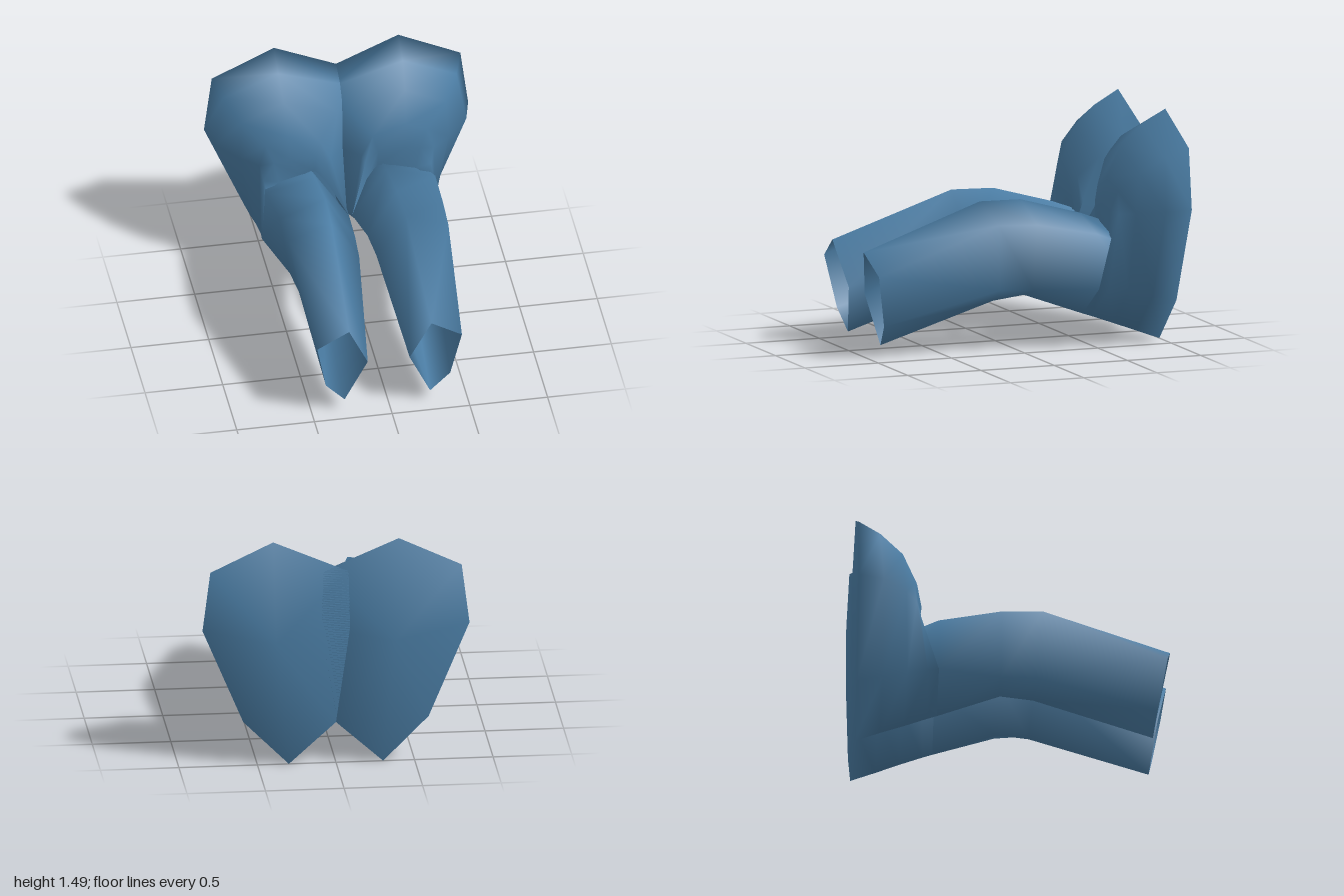
import * as THREE from 'three';

// Smooth skin through rings of equal length, listed from back to front;
// each ring runs top, outer side, bottom, inner side.
function loft(rings, side, capBack) {
  const n = rings[0].length, pos = [], idx = [];
  const tri = (a, b, c) => (side > 0 ? idx.push(a, b, c) : idx.push(a, c, b));
  for (const ring of rings) {
    for (const [x, y, z] of ring) {
      const lean = -0.012 * Math.max(0, z + 0.5) / 1.5; // legs drift slightly sideways
      pos.push(side * x + lean, y, z);
    }
  }
  for (let r = 0; r < rings.length - 1; r++) {
    for (let i = 0; i < n; i++) {
      const a = r * n + i, b = r * n + (i + 1) % n;
      tri(a, a + n, b);
      tri(b, a + n, b + n);
    }
  }
  if (capBack) {
    const c = pos.length / 3;
    pos.push(side * 0.38, 0.8, rings[0][0][2]);
    for (let i = 0; i < n; i++) tri(c, i, (i + 1) % n);
  }
  const g = new THREE.BufferGeometry();
  g.setAttribute('position', new THREE.Float32BufferAttribute(pos, 3));
  g.setIndex(idx);
  g.computeVertexNormals();
  return g;
}

// Rounded hip lobe, from its flat back to the leg socket
const hipRings = [
  [[-0.08, 1.28, -1], [0.4, 1.49, -1], [0.8, 1.3, -1], [0.85, 0.91, -1],
    [0.59, 0.29, -1], [0.3, 0, -1], [0, 0.27, -1], [-0.09, 0.9, -1]],
  [[-0.06, 1.24, -0.86], [0.4, 1.4, -0.84], [0.75, 1.24, -0.86], [0.81, 0.9, -0.84],
    [0.58, 0.32, -0.84], [0.3, 0.06, -0.84], [0, 0.32, -0.84], [-0.06, 0.86, -0.84]],
  [[0.04, 1.13, -0.73], [0.39, 1.27, -0.7], [0.66, 1.13, -0.72], [0.67, 0.88, -0.69],
    [0.57, 0.36, -0.68], [0.29, 0.115, -0.69], [0, 0.38, -0.7], [0, 0.82, -0.76]],
  [[0.17, 0.99, -0.63], [0.38, 1.07, -0.61], [0.52, 1.0, -0.63], [0.56, 0.86, -0.62],
    [0.565, 0.38, -0.55], [0.29, 0.17, -0.54], [0.01, 0.47, -0.56], [0.1, 0.84, -0.64]],
  [[0.2, 0.89, -0.6], [0.37, 0.91, -0.58], [0.47, 0.88, -0.6], [0.54, 0.76, -0.59],
    [0.57, 0.39, -0.48], [0.29, 0.19, -0.48], [0.01, 0.5, -0.48], [0.12, 0.78, -0.63]],
  [[0.2, 0.77, -0.62], [0.3, 0.77, -0.6], [0.44, 0.73, -0.6], [0.52, 0.68, -0.58],
    [0.57, 0.39, -0.48], [0.29, 0.19, -0.48], [0.01, 0.5, -0.48], [0.14, 0.7, -0.62]],
];

// Five-sided bent leg: inside the hip, hip, behind the knee, before the knee, open end
const legRings = [
  [[0.23, 0.75, -0.7], [0.52, 0.65, -0.7], [0.53, 0.41, -0.7], [0.29, 0.17, -0.7], [0.05, 0.46, -0.7]],
  [[0.23, 0.83, -0.48], [0.545, 0.74, -0.48], [0.57, 0.39, -0.48], [0.29, 0.19, -0.48], [0.01, 0.5, -0.48]],
  [[0.23, 0.94, -0.08], [0.525, 0.82, -0.08], [0.46, 0.39, -0.08], [0.29, 0.335, -0.08], [0.04, 0.62, -0.08]],
  [[0.24, 0.945, 0.2], [0.515, 0.83, 0.18], [0.44, 0.4, 0.14], [0.29, 0.31, 0.13], [0.055, 0.635, 0.16]],
  [[0.265, 0.67, 1], [0.465, 0.54, 0.975], [0.4, 0.21, 0.915], [0.275, 0.07, 0.89], [0.135, 0.38, 0.94]],
];

export function createModel() {
  const model = new THREE.Group();
  model.name = 'lowerBody';
  const blue = new THREE.MeshStandardMaterial({ color: 0x4a7ca3, side: THREE.DoubleSide });
  blue.name = 'blue';
  for (const [side, label] of [[1, 'left'], [-1, 'right']]) {
    const hip = new THREE.Mesh(loft(hipRings, side, true), blue);
    hip.name = label + 'Hip';
    const leg = new THREE.Mesh(loft(legRings, side, false), blue);
    leg.name = label + 'Leg';
    model.add(hip, leg);
  }
  return model;
}
